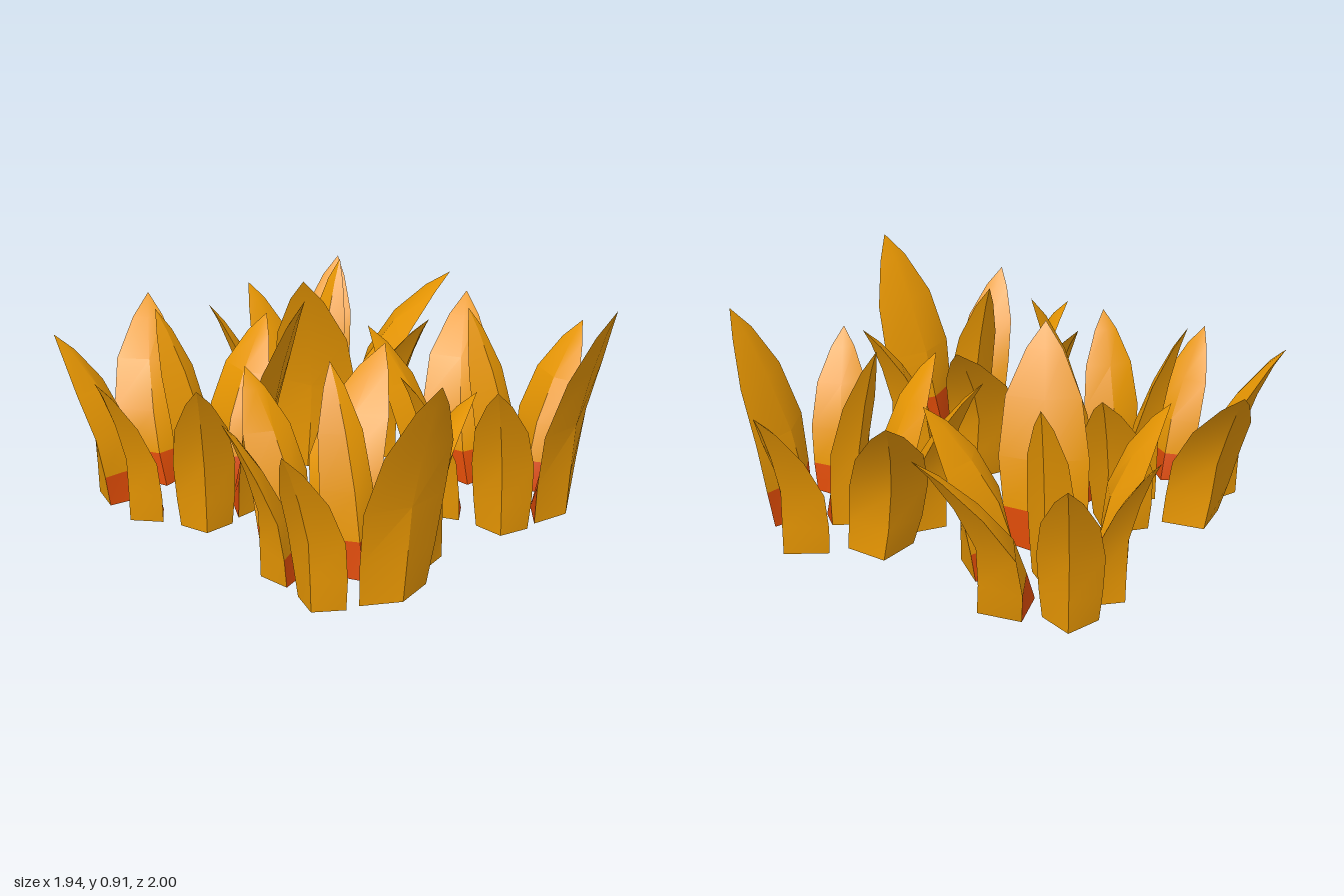
import * as THREE from 'three';
import { toCreasedNormals } from 'three/addons/utils/BufferGeometryUtils.js';

const leafYellow = new THREE.MeshStandardMaterial({ color: 0xf09c02, side: THREE.DoubleSide });
leafYellow.name = 'leafYellow';
const stemRed = new THREE.MeshStandardMaterial({ color: 0xdb4a06, side: THREE.DoubleSide });
stemRed.name = 'stemRed';

// Cross-sections from ground to tip: height, outward lean, half width, share of keel, share of inner ridge
const RINGS = [
  [0, 0, 0.42, 1, 1],
  [0.19, 0.04, 0.47, 0.92, 0.75],
  [0.43, 0.14, 0.5, 0.72, 0.55],
  [0.69, 0.45, 0.42, 0.45, 0.35],
  [0.89, 0.77, 0.2, 0.18, 0.15],
];

// One pointed, outward-bending hollow blade with an outer keel and an inner ridge;
// the foot of its two inner faces is red, and it is open below
function leafGeometry({ base, tip, width, facing, keel, inner, ridge = 0, skew = 0 }) {
  const lean = new THREE.Vector3(tip[0] - base[0], 0, tip[2] - base[1]);
  const out = new THREE.Vector3(facing[0], 0, facing[1]).normalize();
  const side = new THREE.Vector3(out.z, 0, -out.x);
  const rings = RINGS.map(([t, l, w, k, i]) => {
    const c = new THREE.Vector3(base[0], t * tip[1], base[1])
      .addScaledVector(lean, l)
      .addScaledVector(side, 4 * t * (1 - t) * skew);
    const at = (across, outward) =>
      c.clone().addScaledVector(side, across).addScaledVector(out, outward);
    return [at(0, keel * k), at(w * width, 0), at(ridge * i, -inner * i), at(-w * width, 0)];
  });
  const point = new THREE.Vector3(...tip);
  const yellow = [], red = [];
  rings.forEach((ring, i) => {
    for (let k = 0; k < 4; k++) {
      const j = (k + 1) % 4, next = rings[i + 1];
      const list = i === 0 && (k === 1 || k === 2) ? red : yellow;
      if (next) list.push(ring[k], ring[j], next[j], ring[k], next[j], next[k]);
      else list.push(ring[k], ring[j], point);
    }
  });
  const geometry = new THREE.BufferGeometry().setFromPoints([...yellow, ...red]);
  geometry.addGroup(0, yellow.length, 0);
  geometry.addGroup(yellow.length, red.length, 1);
  return toCreasedNormals(geometry, 0.5);
}

// Leaves of one tuft, in x/z around the middle of the tuft
const LEAVES = [
  { name: 'backLeftLeaf', base: [-0.21, -0.14], tip: [-0.325, 0.69, -0.4], width: 0.26, facing: [-0.4, -0.92], keel: 0.11, inner: 0.105, ridge: -0.03 },
  { name: 'backRightLeaf', base: [0.05, -0.18], tip: [0.265, 0.71, -0.5], width: 0.32, facing: [0.56, -0.83], keel: 0.125, inner: 0.125, skew: 0.035 },
  { name: 'leftLeaf', base: [-0.245, 0.08], tip: [-0.475, 0.64, 0.06], width: 0.24, facing: [-0.98, -0.1], keel: 0.095, inner: 0.07 },
  { name: 'centreLeaf', base: [0, 0.1], tip: [-0.04, 0.81, -0.08], width: 0.21, facing: [-0.05, -1], keel: 0.08, inner: 0.09, ridge: -0.04 },
  { name: 'rightLeaf', base: [0.25, 0.045], tip: [0.522, 0.67, -0.01], width: 0.31, facing: [0.99, -0.05], keel: 0.135, inner: 0.115, ridge: -0.055 },
  { name: 'frontLeftLeaf', base: [-0.145, 0.325], tip: [-0.315, 0.68, 0.485], width: 0.25, facing: [-0.65, 0.76], keel: 0.08, inner: 0.075 },
  { name: 'frontRightLeaf', base: [0.13, 0.31], tip: [0.255, 0.91, 0.5], width: 0.37, facing: [0.4, 0.92], keel: 0.065, inner: 0.09, ridge: -0.02, skew: 0.02 },
];

// Tuft positions and clockwise turns seen from above
const TUFTS = [
  { name: 'backLeftTuft', x: -0.455, z: -0.5, turn: 0 },
  { name: 'backRightTuft', x: 0.45, z: -0.47, turn: 86 },
  { name: 'frontRightTuft', x: 0.44, z: 0.42, turn: 13 },
  { name: 'frontLeftTuft', x: -0.433, z: 0.446, turn: 35 },
];

export function createModel() {
  const model = new THREE.Group();
  model.name = 'leafTufts';
  const blades = LEAVES.map((leaf) => [leaf.name, leafGeometry(leaf)]);
  for (const { name, x, z, turn } of TUFTS) {
    const tuft = new THREE.Group();
    tuft.name = name;
    for (const [leafName, geometry] of blades) {
      const mesh = new THREE.Mesh(geometry, [leafYellow, stemRed]);
      mesh.name = leafName;
      tuft.add(mesh);
    }
    tuft.position.set(x, 0, z);
    tuft.rotation.y = -THREE.MathUtils.degToRad(turn);
    model.add(tuft);
  }
  return model;
}
